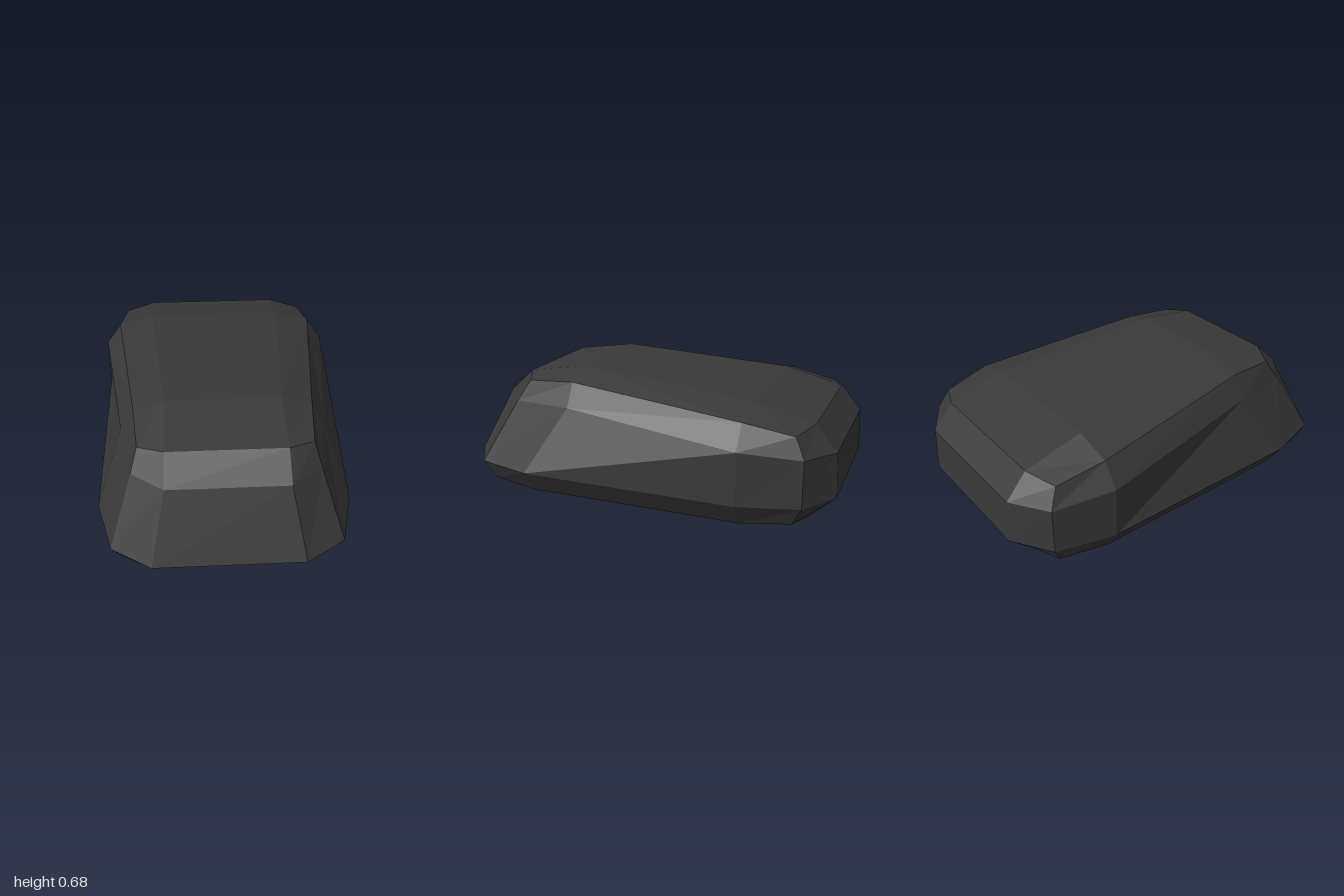
import * as THREE from 'three';

// Cage points [x, y, z] for each half and height layer, bottom to top.
// Each layer lists: inner point, side edge, end edge, corner.
const lower = [
  [[0.37, 0, 0.57], [0.57, 0.05, 0.57], [0.37, 0.05, 0.87], [0.53, 0.07, 0.82]],
  [[0.37, 0.17, 0.57], [0.65, 0.17, 0.57], [0.37, 0.17, 1], [0.57, 0.17, 0.87]],
];
const front = [
  ...lower,
  [[0.3, 0.51, 0.37], [0.52, 0.51, 0.37], [0.3, 0.51, 0.83], [0.46, 0.5, 0.7]],
  [[0.295, 0.68, 0.37], [0.45, 0.63, 0.37], [0.295, 0.63, 0.7], [0.425, 0.61, 0.635]],
];
const back = [
  ...lower,
  [[0.37, 0.4, 0.57], [0.65, 0.44, 0.57], [0.37, 0.4, 0.99], [0.565, 0.41, 0.87]],
  [[0.37, 0.61, 0.57], [0.565, 0.56, 0.57], [0.37, 0.53, 0.88], [0.53, 0.51, 0.82]],
];

export function createModel() {
  const group = new THREE.Group();
  group.name = 'facetedBody';
  const charcoal = new THREE.MeshStandardMaterial({ color: 0x393939 });
  charcoal.name = 'charcoal';

  // A box with three segments per side, its corners pulled onto the cage
  const box = new THREE.BoxGeometry(3, 3, 3, 3, 3, 3);
  const p = box.attributes.position;
  for (let i = 0; i < p.count; i++) {
    const x = p.getX(i), z = p.getZ(i);
    const layer = Math.round(p.getY(i) + 1.5);
    const kind = (Math.abs(x) > 1 ? 1 : 0) + (Math.abs(z) > 1 ? 2 : 0);
    const [cx, cy, cz] = (z > 0 ? front : back)[layer][kind];
    p.setXYZ(i, Math.sign(x) * cx, cy, Math.sign(z) * cz);
  }

  // Separate faces give flat facets
  const geometry = box.toNonIndexed();
  geometry.clearGroups();
  geometry.computeVertexNormals();
  const body = new THREE.Mesh(geometry, charcoal);
  body.name = 'body';
  group.add(body);
  return group;
}
